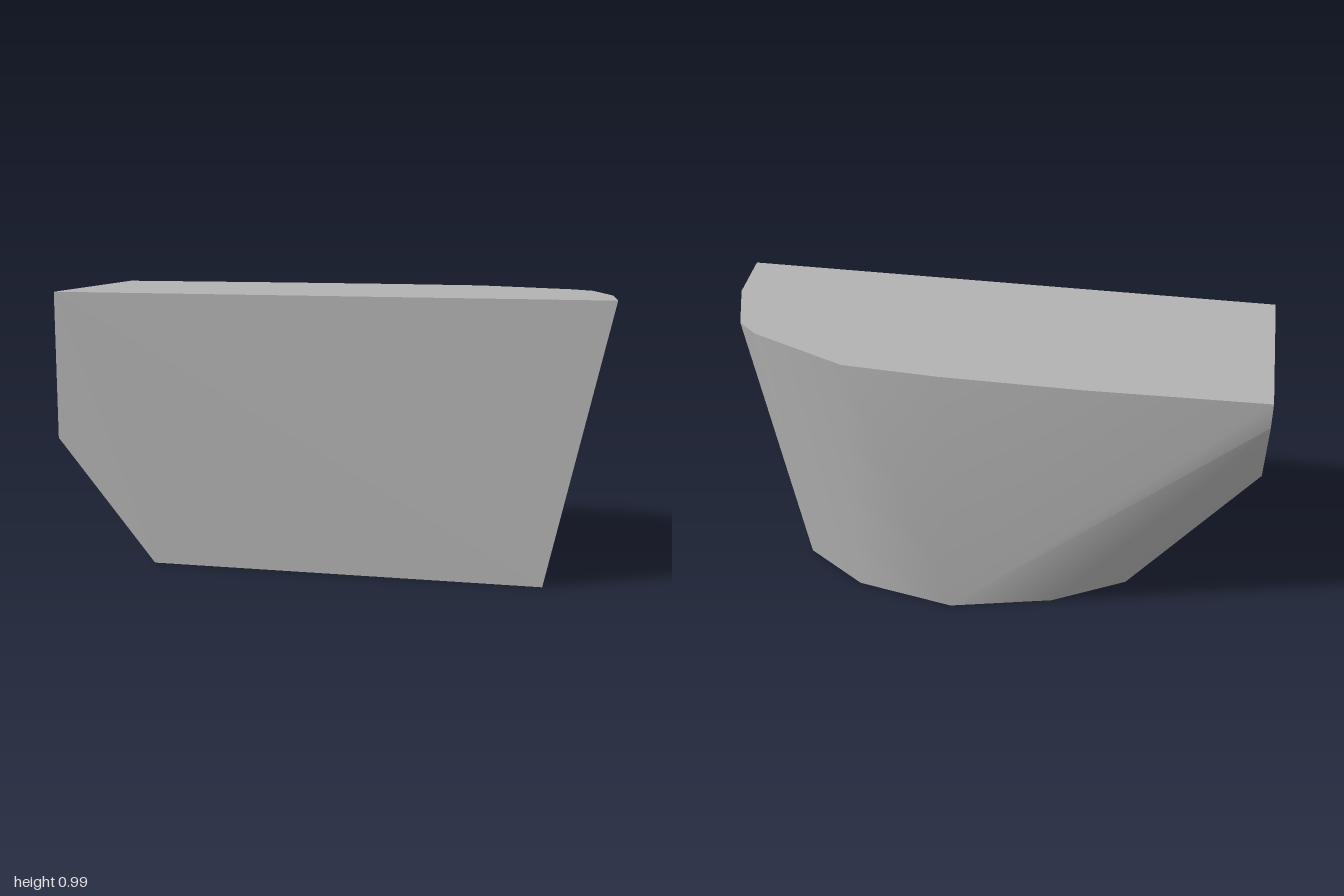
import * as THREE from 'three';
import { ConvexGeometry } from 'three/addons/geometries/ConvexGeometry.js';
import { toCreasedNormals } from 'three/addons/utils/BufferGeometryUtils.js';

const HEIGHT = 0.985;

// outline of the flat top, [x, z]
const topOutline = [
  [-1, 0.375], [-1, -0.352], [-0.38, -0.375], [0.11, -0.375], [0.452, -0.356],
  [0.815, -0.192], [0.893, -0.122], [0.975, 0.125], [1, 0.375],
];

// outline of the smaller flat base, [x, z]
const baseOutline = [
  [-0.635, 0.375], [-0.622, 0.13], [-0.547, -0.11], [-0.285, -0.272], [0.083, -0.372],
  [0.45, -0.302], [0.69, -0.137], [0.75, 0.125], [0.775, 0.375],
];

// lower edge of the flat left end at x = -1, [y, z]
const endOutline = [[0.45, 0.375], [0.46, 0.135], [0.594, -0.183], [0.89, -0.345]];

export function createModel() {
  const stone = new THREE.MeshStandardMaterial({ color: 0xb2b2b2 });
  stone.name = 'stone grey';

  // one convex block spanning the three flat outlines
  const points = [
    ...topOutline.map(([x, z]) => new THREE.Vector3(x, HEIGHT, z)),
    ...baseOutline.map(([x, z]) => new THREE.Vector3(x, 0, z)),
    ...endOutline.map(([y, z]) => new THREE.Vector3(-1, y, z)),
  ];

  // soft shading round the curved back, sharp edges at the flat faces
  const geometry = toCreasedNormals(new ConvexGeometry(points), THREE.MathUtils.degToRad(32));
  const block = new THREE.Mesh(geometry, stone);
  block.name = 'taperedBlock';

  const group = new THREE.Group();
  group.name = 'block';
  group.add(block);
  return group;
}
